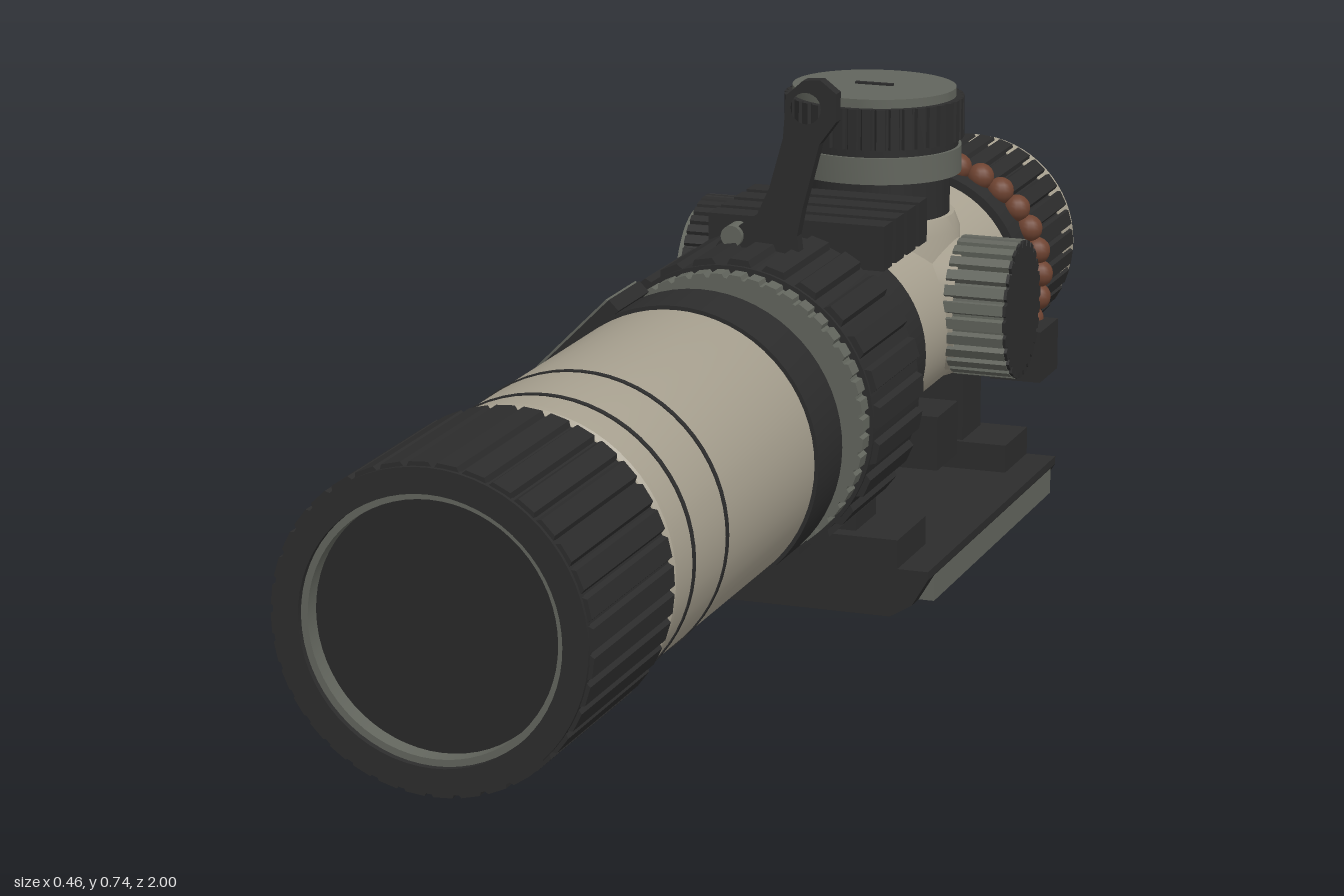
import * as THREE from 'three';
import { toCreasedNormals } from 'three/addons/utils/BufferGeometryUtils.js';

const mat = (name, color) => {
  const m = new THREE.MeshStandardMaterial({ color });
  m.name = name;
  return m;
};

export function createModel() {
  const tan = mat('tan', 0xa8a190), black = mat('black', 0x2c2c2c), grey = mat('grey', 0x62655d);
  const glass = mat('glass', 0x292929), brown = mat('brown', 0x6e4331);
  const model = new THREE.Group();
  model.name = 'riflescope';
  const scope = new THREE.Group();
  scope.name = 'scope';
  scope.position.set(0.02, 0.33, 0);
  model.add(scope);

  const add = (parent, name, geo, m, x = 0, y = 0, z = 0) => {
    const mesh = new THREE.Mesh(geo, m);
    mesh.name = name;
    mesh.position.set(x, y, z);
    parent.add(mesh);
    return mesh;
  };
  // Solid of revolution about z from [radius, z] pairs with rising z
  const turned = (pts) => toCreasedNormals(
    new THREE.LatheGeometry(pts.map(p => new THREE.Vector2(p[0], p[1])), 64).rotateX(Math.PI / 2), 0.5);
  const disc = (r, z0, z1) => turned([[0, z0], [r, z0], [r, z1], [0, z1]]);
  const tube = (ro, ri, z0, z1) => turned([[ri, z0], [ro, z0], [ro, z1], [ri, z1], [ri, z0]]);
  // Ribbed grip about z, with an optional round bore
  const ribbed = (r, depth, n, z0, z1, bore = 0, land = 0.6) => {
    const s = new THREE.Shape();
    const step = Math.PI * 2 / n;
    for (let i = 0; i < n; i++) {
      [[0, r], [land, r], [land + 0.12, r - depth], [0.88, r - depth]].forEach(([t, q], k) => {
        const a = (i + t) * step;
        s[i + k ? 'lineTo' : 'moveTo'](Math.cos(a) * q, Math.sin(a) * q);
      });
    }
    s.closePath();
    if (bore) s.holes.push(new THREE.Path().absarc(0, 0, bore, 0, Math.PI * 2, true));
    return new THREE.ExtrudeGeometry(s, { depth: z1 - z0, bevelEnabled: false, curveSegments: 32 })
      .translate(0, 0, z0);
  };
  const box = (parent, name, m, x0, x1, y0, y1, z0, z1) => add(parent, name,
    new THREE.BoxGeometry(x1 - x0, y1 - y0, z1 - z0), m, (x0 + x1) / 2, (y0 + y1) / 2, (z0 + z1) / 2);

  // Main tube, from eyepiece to objective
  add(scope, 'mainTube', turned([[0, -0.8], [0.147, -0.8], [0.147, -0.73], [0.131, -0.64], [0.131, -0.14],
    [0.131, 0.04], [0.145, 0.06], [0.179, 0.15], [0.179, 0.72], [0.184, 0.72], [0.184, 0.73],
    [0.179, 0.735], [0.179, 0.76], [0, 0.76]]), tan);
  [0.55, 0.66].forEach(z => add(scope, 'tubeGroove', tube(0.1805, 0.17, z - 0.004, z + 0.004), black));

  // Objective bell
  add(scope, 'objectiveGrip', ribbed(0.19, 0.006, 36, 0.75, 0.995, 0.155, 0.68), black);
  add(scope, 'objectiveRim', tube(0.185, 0.155, 0.99, 1.0), black);
  add(scope, 'objectiveTrim', tube(0.156, 0.147, 0.96, 0.992), grey);
  add(scope, 'objectiveLens', disc(0.15, 0.76, 0.97), glass);

  // Eyepiece
  add(scope, 'eyepieceGrip', ribbed(0.15, 0.006, 32, -0.985, -0.79, 0.105, 0.68), black);
  add(scope, 'eyepieceRim', tube(0.146, 0.102, -1.0, -0.95), tan);
  add(scope, 'eyepieceLens', disc(0.106, -0.965, -0.79), glass);

  // Magnification ring and neighbouring bands
  add(scope, 'magnificationRing', ribbed(0.199, 0.01, 26, -0.13, 0.045, 0, 0.5), black);
  add(scope, 'magnificationLip', disc(0.191, -0.136, 0.05), black);
  add(scope, 'scaleRing', ribbed(0.186, 0.005, 48, 0.045, 0.075), grey);
  add(scope, 'stopFlange', disc(0.178, -0.162, -0.147), black);
  add(scope, 'flangeCollar', disc(0.15, -0.15, -0.13), black);
  add(scope, 'rubberBand', tube(0.184, 0.17, 0.15, 0.24), black);

  // Framed plate lying on the band
  const plate = new THREE.Group();
  plate.name = 'bandPlate';
  plate.position.set(-0.131, 0.131, 0.185);
  plate.rotation.z = Math.PI / 4;
  scope.add(plate);
  box(plate, 'plateBody', black, -0.068, 0.068, -0.012, 0.006, -0.052, 0.052);
  [-1, 1].forEach(s => {
    box(plate, 'plateFrameSide', grey, s * 0.06 - 0.005, s * 0.06 + 0.005, 0.005, 0.009, -0.05, 0.05);
    box(plate, 'plateFrameEnd', grey, -0.06, 0.06, 0.005, 0.009, s * 0.045 - 0.005, s * 0.045 + 0.005);
  });

  // Throw lever with an eye
  const lever = new THREE.Shape([[-0.045, 0.5], [-0.03, 0.525], [0, 0.55], [0.022, 0.565], [0.038, 0.6],
    [0.056, 0.665], [0.06, 0.72], [0.082, 0.74], [0.105, 0.742], [0.126, 0.726], [0.126, 0.69], [0.104, 0.66],
    [0.082, 0.575], [0.075, 0.54], [0.08, 0.5]].map(p => new THREE.Vector2(...p)));
  lever.holes.push(new THREE.Path().absarc(0.086, 0.705, 0.02, 0, Math.PI * 2, true));
  add(model, 'throwLever', new THREE.ExtrudeGeometry(lever, { depth: 0.018, bevelEnabled: false }), black, 0, 0, -0.068);
  add(model, 'leverPin', disc(0.014, -0.072, -0.042), grey, -0.01, 0.535, 0);

  // Turret saddle
  const knob = (name, ry, rx, y) => {
    const g = new THREE.Group();
    g.name = name;
    g.position.set(0, y, -0.525);
    g.rotation.set(rx, ry, 0);
    scope.add(g);
    return g;
  };
  const top = knob('elevationTurret', 0, -Math.PI / 2, 0);
  top.scale.x = 1.1;
  add(top, 'turretSaddle', turned([[0, 0], [0.107, 0], [0.107, 0.12], [0.1, 0.14], [0, 0.14]]), tan);
  add(top, 'turretNeck', disc(0.094, 0.13, 0.25), black);
  add(top, 'turretSkirt', disc(0.108, 0.196, 0.232), grey);
  add(top, 'turretGroove', disc(0.104, 0.23, 0.245), black);
  add(top, 'turretGrip', ribbed(0.111, 0.004, 40, 0.243, 0.298), black);
  add(top, 'turretCap', disc(0.101, 0.295, 0.31), grey);
  box(top, 'turretSlot', black, -0.024, 0.024, -0.003, 0.003, 0.309, 0.313);

  // Windage knob (right-hand +x side) and focus knob (-x side)
  const windage = knob('windageKnob', Math.PI / 2, 0, 0.017);
  windage.scale.y = 1.13;
  add(windage, 'windageBoss', disc(0.08, 0, 0.137), tan);
  add(windage, 'windageGrip', ribbed(0.084, 0.007, 26, 0.125, 0.208), grey);
  add(windage, 'windageCap', ribbed(0.083, 0.007, 26, 0.208, 0.212), black);
  const focus = knob('focusKnob', -Math.PI / 2, 0, 0.022);
  focus.scale.y = 1.12;
  add(focus, 'focusBoss', disc(0.09, 0, 0.137), tan);
  add(focus, 'focusNeck', disc(0.09, 0.13, 0.18), black);
  add(focus, 'focusGrip', ribbed(0.105, 0.004, 40, 0.172, 0.242), black);
  add(focus, 'focusCap', disc(0.09, 0.24, 0.253), grey);

  // Bead string draped over the rear ring
  const bead = new THREE.SphereGeometry(0.019, 14, 10);
  for (let i = 0; i < 20; i++) {
    const a = THREE.MathUtils.degToRad(-22 + i * 11.8);
    add(scope, 'bead', bead, brown, Math.cos(a) * 0.161, Math.sin(a) * 0.161, -0.742 - 0.036 * Math.cos(a));
  }

  // Mount base: chamfered plate with raised pads
  const mount = new THREE.Group();
  mount.name = 'mount';
  model.add(mount);
  const base = new THREE.Shape([[-0.12, 0], [0.15, 0], [0.18, 0.018], [0.202, 0.055], [0.202, 0.066],
    [-0.163, 0.066], [-0.163, 0.04], [-0.14, 0.012]].map(p => new THREE.Vector2(...p)));
  add(mount, 'mountBase', new THREE.ExtrudeGeometry(base, { depth: 0.59, bevelEnabled: false }), black, 0, 0, -0.8);
  box(mount, 'clampRail', grey, 0.17, 0.201, 0.018, 0.055, -0.78, -0.24);
  [[-0.33, -0.21, -0.275, 0.145], [-0.8, -0.695, -0.745, 0.155]].forEach(([z0, z1, zc, r]) => {
    box(mount, 'basePad', black, -0.12, 0.16, 0.06, 0.105, z0, z1);
    box(mount, 'ringPost', black, -0.055, 0.095, 0.1, 0.22, zc - 0.042, zc + 0.042);
    [-1, 1].forEach(s => box(mount, 'ringLug', black, 0.02 + s * 0.15 - 0.036, 0.02 + s * 0.15 + 0.036,
      0.198, 0.27, zc - 0.043, zc + 0.043));
    add(scope, 'mountRing', tube(r, 0.12, zc - 0.033, zc + 0.033), black);
    const bolt = add(mount, 'crossBolt', disc(0.023, 0, 0.045), grey, -0.155, 0.062, zc - 0.01);
    bolt.rotation.y = -Math.PI / 2;
  });

  // Accessory rail on the front ring
  const rail = new THREE.Group();
  rail.name = 'accessoryRail';
  model.add(rail);
  box(rail, 'railBase', black, -0.06, 0.1, 0.455, 0.5, -0.385, -0.205);
  box(rail, 'railSpine', black, -0.035, 0.12, 0.48, 0.512, -0.385, -0.205);
  for (let i = 0; i < 4; i++) {
    const z = -0.385 + i * 0.049;
    box(rail, 'railTooth', black, -0.1, 0.14, 0.465, 0.524, z, z + 0.034);
  }
  return model;
}
